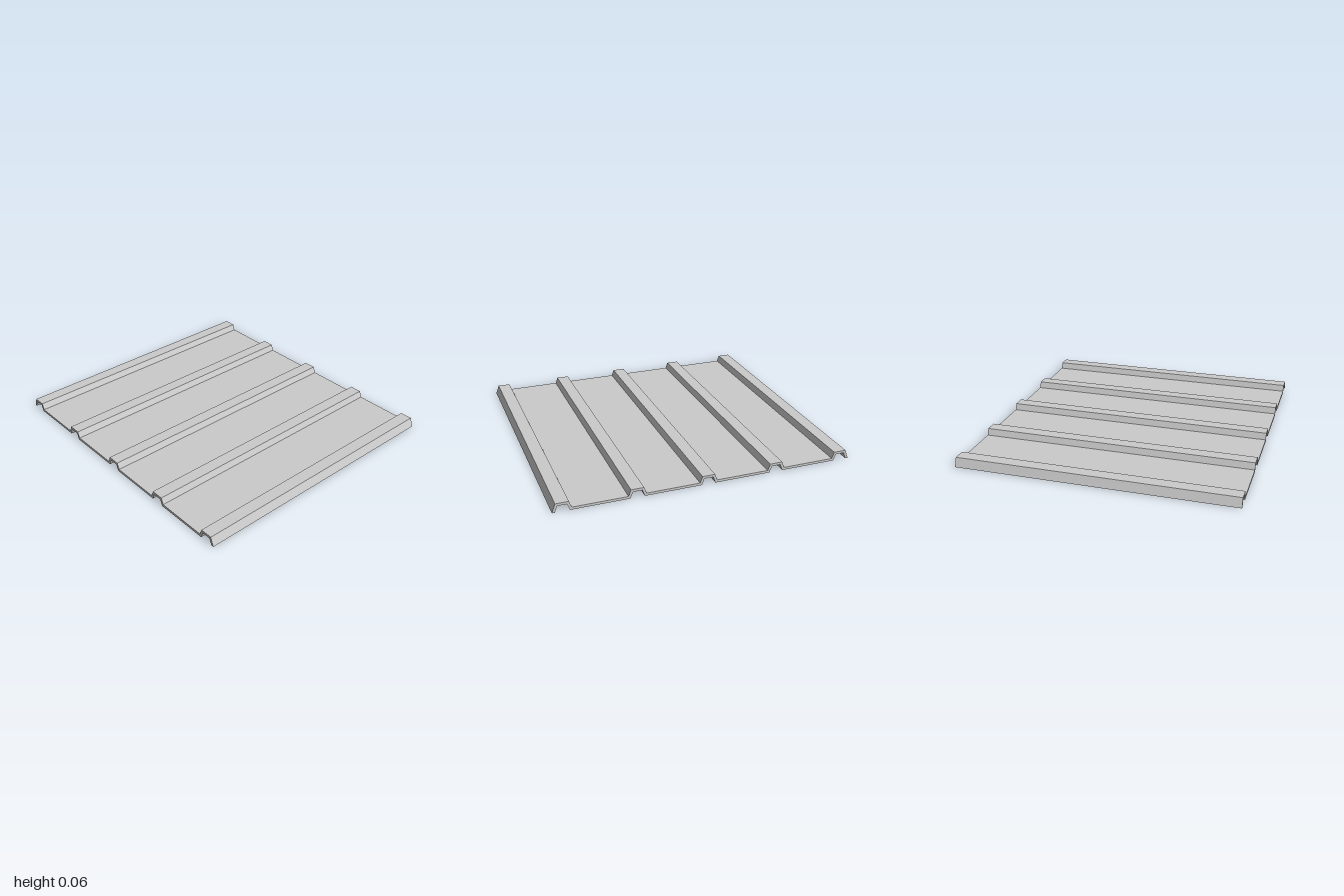
import * as THREE from 'three';

const WIDTH = 1.86;      // length of the ribs along x
const T = 0.017;         // sheet thickness
const H = 0.06;          // rib height
const PITCH = 0.468;     // distance between ribs
const RIBS = 5;

export function createModel() {
  const group = new THREE.Group();
  group.name = 'corrugatedPanel';

  // Cross-section: upper and lower outlines of the folded sheet, as (z, y)
  const upper = [], lower = [];
  for (let i = 0; i < RIBS; i++) {
    const c = (i - (RIBS - 1) / 2) * PITCH;
    const first = i === 0, last = i === RIBS - 1;
    // the outermost flanks run down to the ground as free edges
    upper.push(
      [c - (first ? 0.064 : 0.058), first ? 0 : T],
      [c - 0.042, H], [c + 0.042, H],
      [c + (last ? 0.064 : 0.058), last ? 0 : T]
    );
    lower.push([c - 0.046, 0], [c - 0.03, H - T], [c + 0.03, H - T], [c + 0.046, 0]);
  }
  const outline = [...lower, ...upper.reverse()].map(([z, y]) => new THREE.Vector2(z, y));

  // Sweep the section along x
  const geometry = new THREE.ExtrudeGeometry(new THREE.Shape(outline), { depth: WIDTH, bevelEnabled: false });
  geometry.translate(0, 0, -WIDTH / 2);
  geometry.rotateY(-Math.PI / 2);

  const sheet = new THREE.Mesh(geometry, new THREE.MeshStandardMaterial({ color: 0xcccccc }));
  sheet.name = 'ribbedSheet';
  group.add(sheet);
  return group;
}
